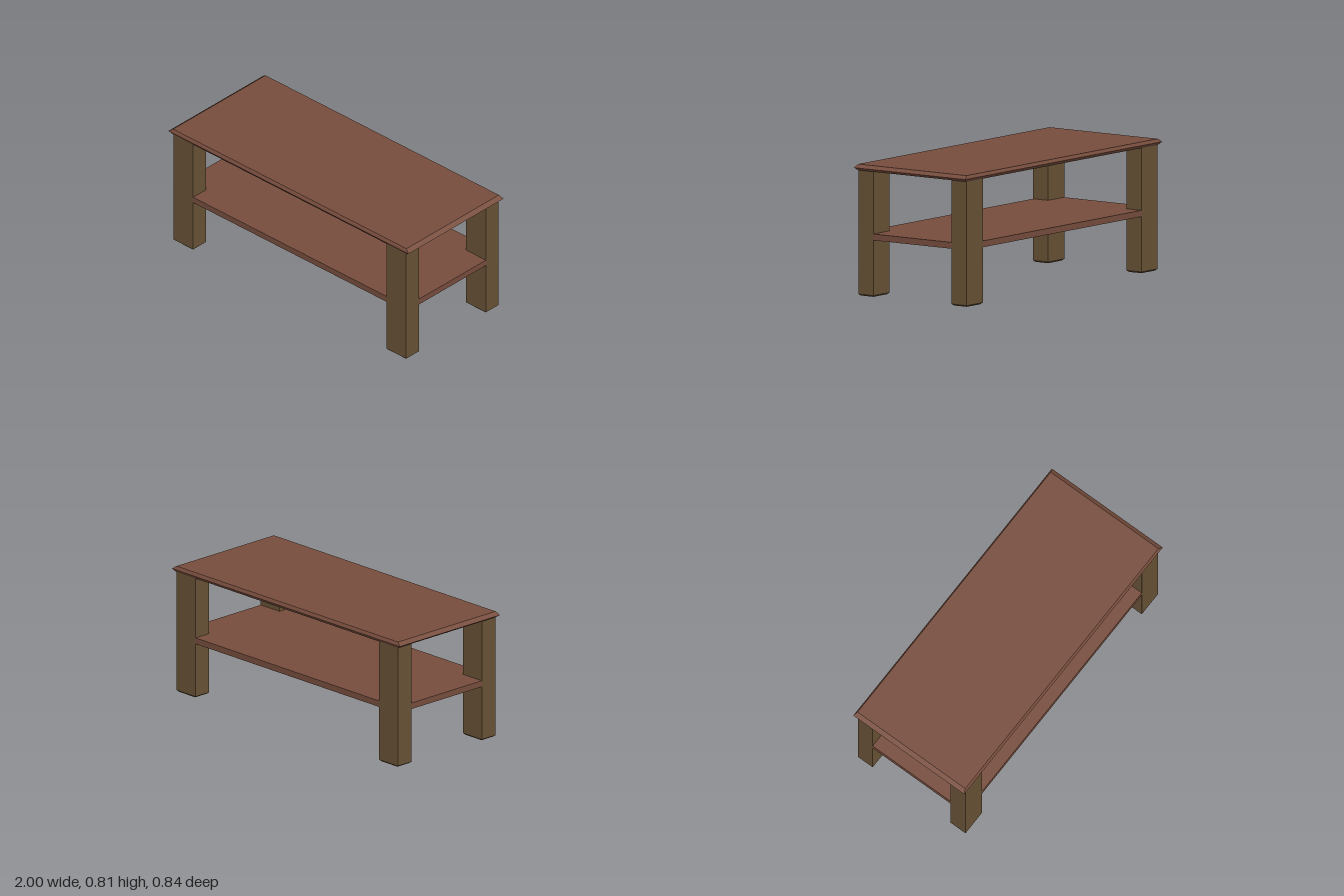
import * as THREE from 'three';

const redWood = new THREE.MeshStandardMaterial({ color: 0x774d3d });
redWood.name = 'red brown wood';
const oliveWood = new THREE.MeshStandardMaterial({ color: 0x685236 });
oliveWood.name = 'olive brown wood';

// Outer and inner faces shared by the legs and the shelf rails
const OX = 0.97, IX = 0.805, OZ = 0.41, IZ = 0.297;

// Box given by its limits on each axis
function box(name, x0, x1, y0, y1, z0, z1, material) {
  const g = new THREE.BoxGeometry(x1 - x0, y1 - y0, z1 - z0);
  g.translate((x0 + x1) / 2, (y0 + y1) / 2, (z0 + z1) / 2);
  const mesh = new THREE.Mesh(g, material);
  mesh.name = name;
  return mesh;
}

// Pull the corners at one height towards a centre
function insetLevel(geometry, y, cx, cz, dx, dz) {
  const p = geometry.attributes.position;
  for (let i = 0; i < p.count; i++) {
    if (Math.abs(p.getY(i) - y) > 1e-4) continue;
    p.setX(i, p.getX(i) - Math.sign(p.getX(i) - cx) * dx);
    p.setZ(i, p.getZ(i) - Math.sign(p.getZ(i) - cz) * dz);
  }
  geometry.computeVertexNormals();
}

export function createModel() {
  const table = new THREE.Group();
  table.name = 'coffeeTable';

  // Table top: two slabs meeting at a pointed edge
  const top = new THREE.Group();
  top.name = 'tableTop';
  const lower = box('topLowerBevel', -1, 1, 0.77, 0.788, -0.422, 0.422, redWood);
  insetLevel(lower.geometry, 0.77, 0, 0, 0.028, 0.012);
  const upper = box('topUpperBevel', -1, 1, 0.788, 0.808, -0.422, 0.422, redWood);
  insetLevel(upper.geometry, 0.808, 0, 0, 0.028, 0.012);
  top.add(lower, upper);
  table.add(top);

  // Corner legs with a tapered foot
  for (const sx of [-1, 1]) for (const sz of [-1, 1]) {
    const leg = new THREE.Group();
    leg.name = `${sz > 0 ? 'front' : 'back'}${sx > 0 ? 'Left' : 'Right'}Leg`;
    const xs = [sx * IX, sx * OX].sort((a, b) => a - b);
    const zs = [sz * IZ, sz * OZ].sort((a, b) => a - b);
    const foot = box('foot', ...xs, 0, 0.01, ...zs, oliveWood);
    insetLevel(foot.geometry, 0, (xs[0] + xs[1]) / 2, (zs[0] + zs[1]) / 2, 0.014, 0.01);
    leg.add(box('post', ...xs, 0.01, 0.77, ...zs, oliveWood), foot);
    table.add(leg);
  }

  // Shelf: thin panel with rails between the legs, olive below and inside
  const shelf = new THREE.Group();
  shelf.name = 'shelf';
  shelf.add(box('shelfPanel', -IX, IX, 0.36, 0.388, -IZ, IZ, redWood));
  const R = redWood, O = oliveWood;
  shelf.add(box('frontRail', -IX, IX, 0.349, 0.388, IZ, OZ, [R, R, R, O, R, O]));
  shelf.add(box('backRail', -IX, IX, 0.349, 0.388, -OZ, -IZ, [R, R, R, O, O, R]));
  shelf.add(box('leftRail', IX, OX, 0.349, 0.388, -IZ, IZ, [R, O, R, O, R, R]));
  shelf.add(box('rightRail', -OX, -IX, 0.349, 0.388, -IZ, IZ, [O, R, R, O, R, R]));
  table.add(shelf);

  return table;
}
